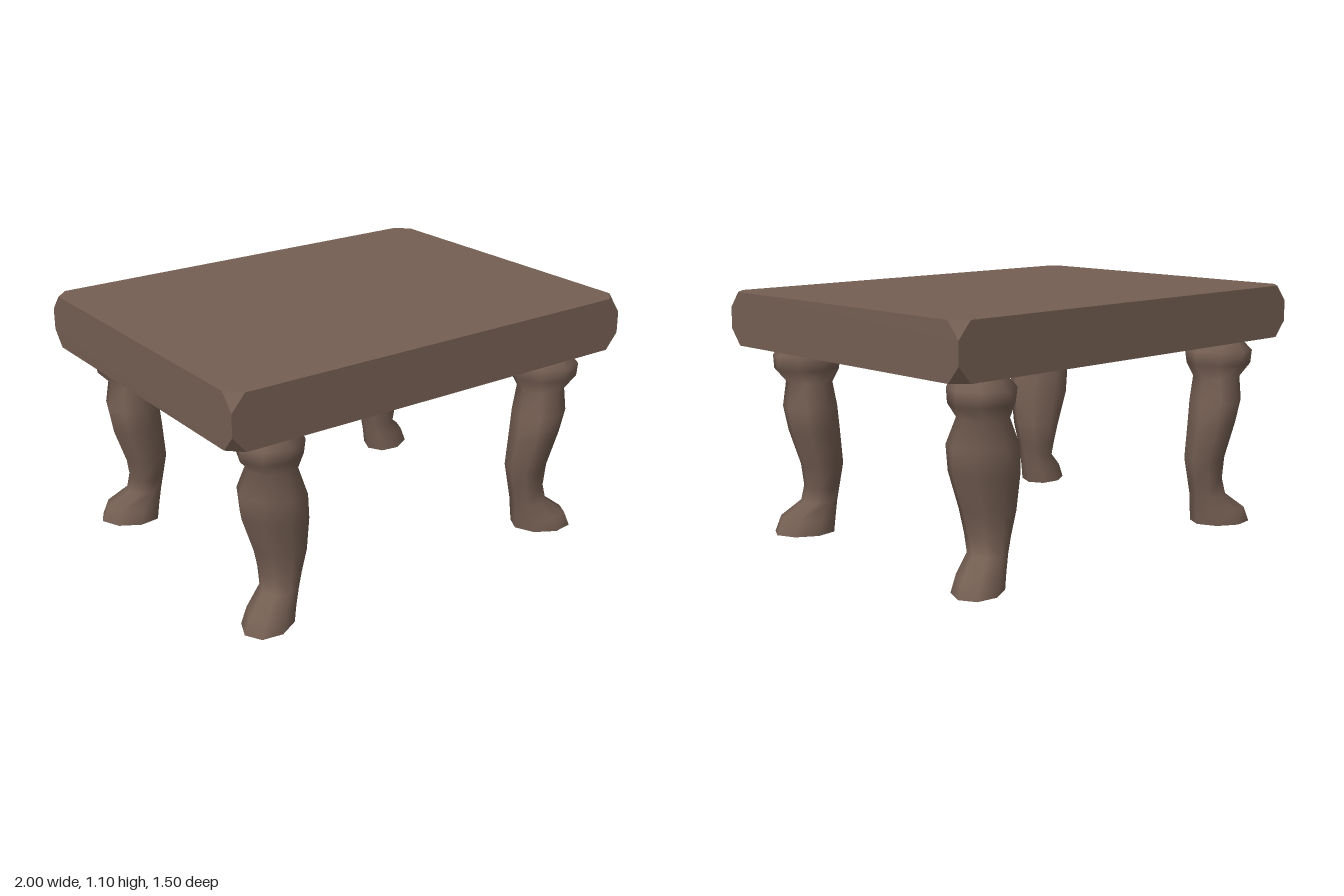
import * as THREE from 'three';
import { ConvexGeometry } from 'three/addons/geometries/ConvexGeometry.js';

// Leg cross-sections: height, x min, x max, z min, z max, diagonal lean of the oval
const SECTIONS = [
  [0.00, 0.63, 0.89, 0.475, 0.705, 0.25],
  [0.07, 0.62, 0.86, 0.48, 0.695, 0.25],
  [0.14, 0.61, 0.77, 0.485, 0.655, 0],
  [0.21, 0.595, 0.765, 0.47, 0.65, -0.15],
  [0.31, 0.57, 0.785, 0.455, 0.66, -0.2],
  [0.47, 0.573, 0.84, 0.445, 0.695, -0.25],
  [0.58, 0.585, 0.855, 0.445, 0.71, -0.2],
  [0.69, 0.62, 0.82, 0.47, 0.69, 0],
  [0.75, 0.585, 0.875, 0.45, 0.715, 0.1],
  [0.81, 0.58, 0.875, 0.44, 0.725, 0.1],
  [0.87, 0.645, 0.82, 0.465, 0.68, 0],
];
const SIDES = 8;

// Curved leg lofted through the sections, mirrored by the signs sx and sz
function legGeometry(sx, sz) {
  const positions = [], index = [];
  for (const [y, x0, x1, z0, z1, lean] of SECTIONS) {
    for (let i = 0; i < SIDES; i++) {
      const t = (i / SIDES) * Math.PI * 2;
      const x = (x0 + x1) / 2 + ((x1 - x0) / 2) * Math.cos(t);
      const z = (z0 + z1) / 2 + ((z1 - z0) / 2) * Math.sin(t + lean);
      positions.push(sx * x, y, sz * z);
    }
  }
  for (let r = 0; r < SECTIONS.length - 1; r++) {
    for (let i = 0; i < SIDES; i++) {
      const a = r * SIDES + i, b = r * SIDES + ((i + 1) % SIDES);
      const c = a + SIDES, d = b + SIDES;
      if (sx * sz > 0) index.push(a, c, b, b, c, d);
      else index.push(a, b, c, b, d, c);
    }
  }
  const geometry = new THREE.BufferGeometry();
  geometry.setAttribute('position', new THREE.Float32BufferAttribute(positions, 3));
  geometry.setIndex(index);
  geometry.computeVertexNormals();
  return geometry;
}

// Thick slab whose eight corners are cut off
function slabGeometry() {
  const points = [], cut = 0.06, drop = 0.07;
  for (const sx of [-1, 1]) for (const sz of [-1, 1]) for (const top of [0, 1]) {
    const w = sz > 0 ? 1 : 0.99, y = top ? 1.1 : 0.865;
    points.push(
      new THREE.Vector3(sx * (w - cut), y, sz * 0.75),
      new THREE.Vector3(sx * w, y, sz * (0.75 - cut)),
      new THREE.Vector3(sx * w, y + (top ? -drop : drop), sz * 0.75),
    );
  }
  return new ConvexGeometry(points);
}

export function createModel() {
  const model = new THREE.Group();
  model.name = 'lowTable';
  const wood = new THREE.MeshStandardMaterial({ color: 0x755f53 });
  wood.name = 'brownWood';
  // Legs are open at the sole
  const legWood = wood;
  legWood.side = THREE.DoubleSide;

  const slab = new THREE.Mesh(slabGeometry(), wood);
  slab.name = 'tableTop';
  model.add(slab);

  for (const sx of [-1, 1]) for (const sz of [-1, 1]) {
    const leg = new THREE.Mesh(legGeometry(sx, sz), legWood);
    leg.name = (sz > 0 ? 'front' : 'back') + (sx > 0 ? 'Left' : 'Right') + 'Leg';
    model.add(leg);
  }
  return model;
}
